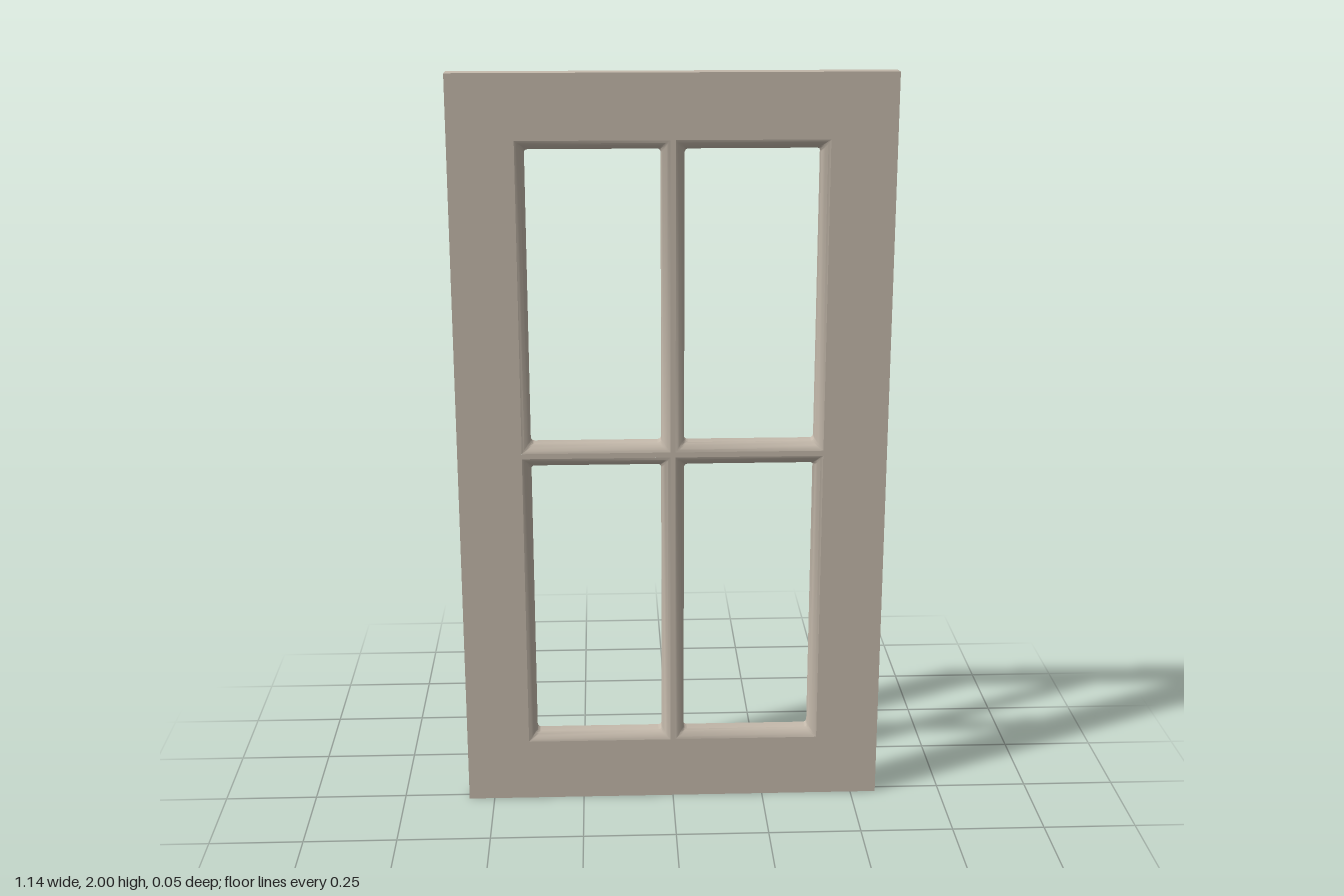
import * as THREE from 'three';
import { toCreasedNormals } from 'three/addons/utils/BufferGeometryUtils.js';

const W = 0.57, H = 2, Z = 0.025;   // half width, height, half depth
const BEVEL = 0.023;                // width of the moulding around each pane

// Counter-clockwise rounded rectangle at depth z
function ring({ x0, x1, y0, y1 }, inset, r, z, steps = 4) {
  const pts = [];
  const corners = [[x1, y0, -1, 1], [x1, y1, -1, -1], [x0, y1, 1, -1], [x0, y0, 1, 1]];
  corners.forEach(([x, y, sx, sy], c) => {
    for (let i = 0; i <= steps; i++) {
      const a = (c - 1 + i / steps) * Math.PI / 2;
      pts.push([x + sx * (inset + r) + r * Math.cos(a), y + sy * (inset + r) + r * Math.sin(a), z]);
    }
  });
  return pts;
}

// Skin through a list of closed rings
function loft(rings) {
  const n = rings[0].length, index = [];
  for (let k = 0; k < rings.length - 1; k++) {
    for (let i = 0; i < n; i++) {
      const a = k * n + i, b = k * n + (i + 1) % n;
      index.push(a, b, b + n, a, b + n, a + n);
    }
  }
  const geo = new THREE.BufferGeometry();
  geo.setAttribute('position', new THREE.Float32BufferAttribute(rings.flat(2), 3));
  geo.setIndex(index);
  return toCreasedNormals(geo, 0.5);
}

function rectPath(path, { x0, x1, y0, y1 }) {
  path.moveTo(x0, y0);
  path.lineTo(x1, y0);
  path.lineTo(x1, y1);
  path.lineTo(x0, y1);
  path.closePath();
  return path;
}

export function createModel() {
  const group = new THREE.Group();
  group.name = 'panedDoor';
  const material = new THREE.MeshStandardMaterial({ color: 0xc4b9ab, side: THREE.DoubleSide });
  const add = (name, geo) => {
    const mesh = new THREE.Mesh(geo, material);
    mesh.name = name;
    group.add(mesh);
  };

  // Four panes, separated by the thin ridges of the glazing bars
  const panes = [];
  for (const [x0, x1] of [[-0.4, -0.007], [0.007, 0.4]]) {
    for (const [y0, y1] of [[0.172, 0.995], [1.009, 1.832]]) panes.push({ x0, x1, y0, y1 });
  }

  // Front sheet with the pane openings
  const outline = { x0: -W, x1: W, y0: 0, y1: H };
  const face = rectPath(new THREE.Shape(), outline);
  for (const p of panes) face.holes.push(rectPath(new THREE.Path(), p));
  add('frontFace', new THREE.ShapeGeometry(face).translate(0, 0, Z));

  // Outer edge walls, open at the back
  add('outerEdge', loft([ring(outline, 0, 0.001, -Z), ring(outline, 0, 0.001, Z)]));

  // Gently rounded moulding and straight flange in each opening
  const profile = [[0, Z], [0.3, 0.0225], [0.6, 0.0175], [0.85, 0.012], [1, 0.007], [1, -Z]];
  for (const p of panes) {
    add('paneMoulding', loft(profile.map(([t, z]) => ring(p, t * BEVEL, 0.0005 + 0.0095 * t, z))));
  }
  return group;
}
